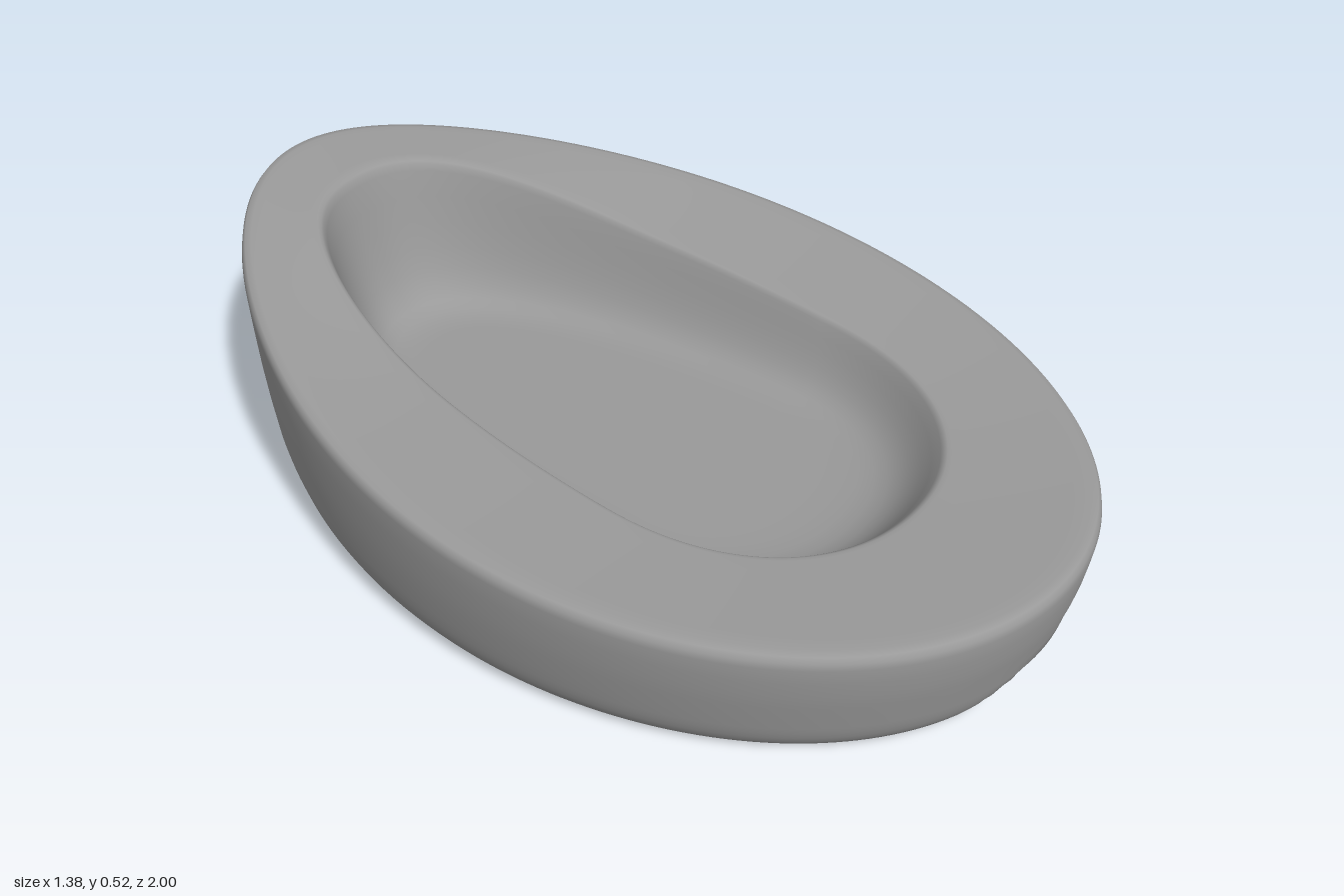
import * as THREE from 'three';

const SEG = 192;
const FLOOR = 0.15;

const power = (v, p) => Math.sign(v) * Math.abs(v) ** (2 / p);

// Outer outline: an ellipse that narrows towards the back
const outer = (t, inset) => {
  const s = Math.sin(t);
  const c = Math.cos(t);
  const narrow = c < 0 ? 1 - 0.17 * c * c : 1;
  return [(0.69 - inset) * s * narrow, 0.08 + ((c > 0 ? 0.92 : 1.08) - inset) * c];
};

// Hollow outline: a full egg, widest towards the front
const inner = (t, inset) => {
  const s = Math.sin(t);
  const c = Math.cos(t);
  const p = 2.22 - 0.08 * c;
  const reach = c > 0 ? 0.47 - 1.6 * inset : 1.005 - 1.3 * inset;
  return [(0.393 - inset) * power(s, p), 0.2 + reach * power(c, p)];
};

// Rim height rises towards the back; its inner edge dips at the front and sides
const outerTop = (z) => 0.358 - 0.119 * z + 0.05 * z * z;
const innerTop = (z) =>
  outerTop(z) - 0.018 + 0.033 * THREE.MathUtils.smoothstep(-z, 0.2, 0.8);

// Small slanted thumb notch under the front edge
const notch = (x, y, z) => Math.max(0, z - (0.88 + y)) * Math.exp(-((x / 0.15) ** 2));

// Each ring is a function of the angle returning a point
function buildRings() {
  const rings = [];

  // Flat underside
  rings.push(() => [0, 0, 0.08]);
  rings.push((t) => { const [x, z] = outer(t, 0.3); return [x, 0, z]; });

  // Outer wall: [inset, share of rim height, offset]
  [
    [0.115, 0, 0], [0.092, 0, 0.002], [0.073, 0, 0.01], [0.059, 0, 0.022],
    [0.049, 0, 0.038], [0.041, 0, 0.055], [0.036, 0, 0.072], [0.031, 0, 0.09],
    [0.025, 0, 0.12], [0.016, 0.25, 0.083], [0.009, 0.5, 0.046], [0.004, 0.75, 0.009],
    [0, 1, -0.028], [0.003, 1, -0.014], [0.01, 1, -0.004], [0.025, 1, 0],
  ].forEach(([inset, share, offset]) => rings.push((t) => {
    const [x, z] = outer(t, inset);
    const y = share * outerTop(z) + offset;
    return [x, y, z - notch(x, y, z)];
  }));

  // Broad rim
  for (let i = 1; i <= 8; i++) {
    const s = i / 8;
    rings.push((t) => {
      const [ox, oz] = outer(t, 0.025);
      const [ix, iz] = inner(t, -0.01);
      const z = oz + (iz - oz) * s;
      const y = outerTop(z) + (innerTop(z) - outerTop(z)) * s;
      return [ox + (ix - ox) * s, y, z];
    });
  }

  // Hollow wall: [inset, share of depth]
  [
    [-0.004, 0.008], [0, 0.025], [0.005, 0.07], [0.016, 0.25], [0.028, 0.44], [0.041, 0.61],
    [0.055, 0.75], [0.071, 0.86], [0.09, 0.935], [0.112, 0.975], [0.14, 0.995], [0.17, 1],
  ].forEach(([inset, depth]) => rings.push((t) => {
    const [x, z] = inner(t, inset);
    const top = innerTop(inner(t, 0)[1]);
    return [x, top + (FLOOR - top) * depth, z];
  }));

  // Hollow floor
  rings.push((t) => { const [x, z] = inner(t, 0.23); return [x, FLOOR, z]; });
  rings.push(() => [0, FLOOR, 0.2]);
  return rings;
}

// Join neighbouring rings into one smooth closed skin
function loft(rings) {
  const pos = [];
  const index = [];
  rings.forEach((ring, i) => {
    for (let j = 0; j < SEG; j++) {
      pos.push(...ring((j / SEG) * Math.PI * 2));
      if (i === rings.length - 1) continue;
      const a = i * SEG + j;
      const b = i * SEG + ((j + 1) % SEG);
      if (i > 0) index.push(a, b, a + SEG);
      if (i < rings.length - 2) index.push(b, b + SEG, a + SEG);
    }
  });
  const geo = new THREE.BufferGeometry();
  geo.setAttribute('position', new THREE.Float32BufferAttribute(pos, 3));
  geo.setIndex(index);
  geo.computeVertexNormals();
  return geo;
}

export function createModel() {
  const grey = new THREE.MeshStandardMaterial({ color: 0x999999 });
  grey.name = 'grey';

  const dish = new THREE.Mesh(loft(buildRings()), grey);
  dish.name = 'ovalDish';

  const model = new THREE.Group();
  model.name = 'slopedOvalDish';
  model.add(dish);
  return model;
}
